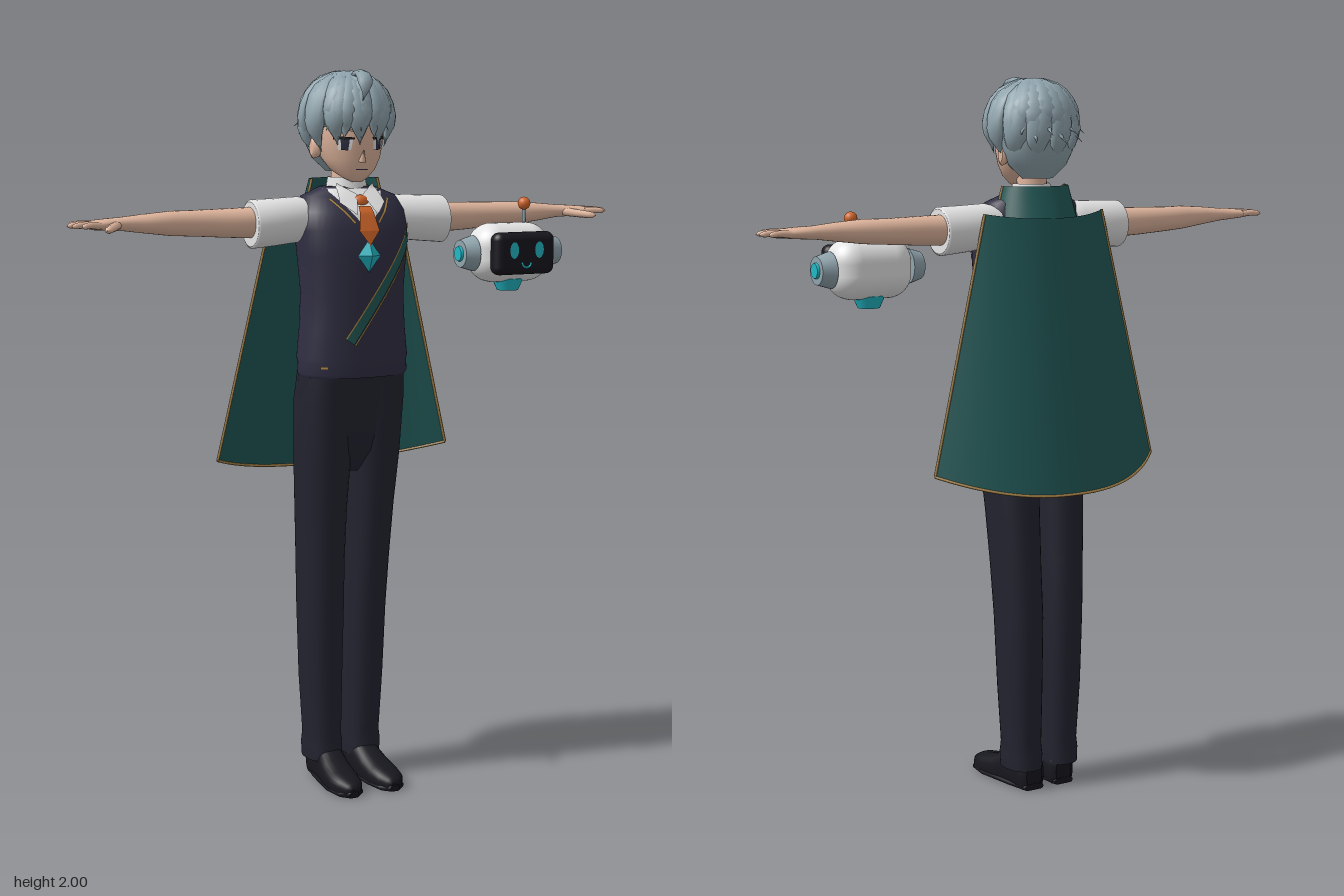
import * as THREE from 'three';
import { RoundedBoxGeometry } from 'three/addons/geometries/RoundedBoxGeometry.js';

const V = (x, y, z) => new THREE.Vector3(x, y, z);
const mix = THREE.MathUtils.lerp;
const paint = (name, color, side = THREE.FrontSide) =>
  Object.assign(new THREE.MeshStandardMaterial({ color, side }), { name });

// Rows of points joined into a surface, optionally closed around and capped
function skin(rows, closed = false, caps = false) {
  const n = rows[0].length, pos = rows.flat().flatMap(p => [p.x, p.y, p.z]), idx = [];
  for (let j = 0; j < rows.length - 1; j++)
    for (let i = 0; i < (closed ? n : n - 1); i++) {
      const a = j * n + i, b = j * n + (i + 1) % n;
      idx.push(a, a + n, b, b, a + n, b + n);
    }
  if (caps) [rows[0], rows[rows.length - 1]].forEach((r, k) => {
    const base = pos.length / 3, c = V(0, 0, 0);
    r.forEach(p => { c.add(p); pos.push(p.x, p.y, p.z); });
    c.divideScalar(n); pos.push(c.x, c.y, c.z);
    for (let i = 0; i < n; i++) {
      const a = base + i, b = base + (i + 1) % n;
      idx.push(base + n, ...(k ? [b, a] : [a, b]));
    }
  });
  const g = new THREE.BufferGeometry();
  g.setAttribute('position', new THREE.Float32BufferAttribute(pos, 3));
  g.setIndex(idx);
  g.computeVertexNormals();
  return g;
}

// Sections are [position, centre1, centre2, radius1, radius2]; y: (x,z), x: (z,y), z: (y,x)
const place = { y: (p, a, b) => V(a, p, b), x: (p, a, b) => V(p, b, a), z: (p, a, b) => V(b, Math.max(0, a), p) };
const bulge = (c, p) => Math.sign(c) * Math.abs(c) ** (2 / p);
function loft(axis, sections, power = 2, n = 28) {
  return skin(sections.map(([p, c1, c2, r1, r2]) => Array.from({ length: n }, (_, i) => {
    const a = i / n * Math.PI * 2;
    return place[axis](p, c1 + r1 * bulge(Math.cos(a), power), c2 + r2 * bulge(Math.sin(a), power));
  })), true, true);
}

// Front surface depth of a y loft, used to lay thin plates on it
function frontZ(sections, x, y, power) {
  let k = 0;
  while (k < sections.length - 2 && sections[k + 1][0] < y) k++;
  const a = sections[k], b = sections[k + 1];
  const t = THREE.MathUtils.clamp((y - a[0]) / (b[0] - a[0]), 0, 1);
  const [, , z, rx, rz] = a.map((v, i) => mix(v, b[i], t));
  return z + rz * Math.max(0, 1 - Math.abs(x / rx) ** power) ** (1 / power);
}
function plate(sections, power, [tl, tr, bl, br], off = 0.005, n = 10) {
  return skin(Array.from({ length: n + 1 }, (_, j) => Array.from({ length: n + 1 }, (_, i) => {
    const u = i / n, v = j / n;
    const [x, y] = [0, 1].map(k => mix(mix(tl[k], tr[k], u), mix(bl[k], br[k], u), v));
    return V(x, y, frontZ(sections, x, y, power) + off);
  })));
}
function strip(x0, y0, x1, y1, w) {
  const l = Math.hypot(x1 - x0, y1 - y0), px = (y1 - y0) / l * w / 2, py = -(x1 - x0) / l * w / 2;
  return [[x0 - px, y0 - py], [x1 - px, y1 - py], [x0 + px, y0 + py], [x1 + px, y1 + py]];
}

// Flattened tapered strand whose flat side faces a centre
function strand(points, w, t, centre, taper, n = 10, m = 8) {
  const curve = new THREE.CatmullRomCurve3(points);
  return skin(Array.from({ length: n + 1 }, (_, j) => {
    const s = j / n, P = curve.getPoint(s), T = curve.getTangent(s);
    const N = P.clone().sub(centre);
    N.addScaledVector(T, -N.dot(T)).normalize();
    const B = T.clone().cross(N), k = taper(s);
    return Array.from({ length: m }, (_, i) => {
      const a = i / m * Math.PI * 2;
      return P.clone().addScaledVector(B, w * k * Math.cos(a)).addScaledVector(N, t * k * Math.sin(a));
    });
  }), true, true);
}
function mirrored(geo) {
  const g = geo.clone().scale(-1, 1, 1), a = g.index.array;
  for (let i = 0; i < a.length; i += 3) [a[i + 1], a[i + 2]] = [a[i + 2], a[i + 1]];
  g.computeVertexNormals();
  return g;
}

export function createModel() {
  const model = new THREE.Group();
  const D = THREE.DoubleSide;
  const skinTone = paint('skin', 0xdfb59d), hair = paint('silver hair', 0x90a4ad), navy = paint('navy knit', 0x302e42),
    dark = paint('dark trousers', 0x232330), white = paint('white', 0xe4e4e4, D), teal = paint('teal cloth', 0x215856, D),
    orange = paint('orange', 0xd4682b), cyan = paint('cyan', 0x22b8c6), gold = paint('gold trim', 0xa8844a, D),
    black = paint('black', 0x17171e);
  const add = (name, geo, mat, x = 0, y = 0, z = 0, parent = model) => {
    const m = new THREE.Mesh(geo, mat);
    m.name = name; m.position.set(x, y, z); parent.add(m);
    return m;
  };
  const both = (name, geo, mat) => { add(name + 'Left', geo, mat); add(name + 'Right', mirrored(geo), mat); };

  // Vest
  const torso = [[1.17, 0, .055, .15, .097], [1.18, 0, .055, .157, .101], [1.21, 0, .055, .155, .1], [1.22, 0, .055, .158, .102],
    [1.3, 0, .055, .15, .1], [1.4, 0, .055, .145, .101], [1.5, 0, .053, .154, .105], [1.57, 0, .048, .16, .102],
    [1.62, 0, .04, .156, .092], [1.66, 0, .028, .137, .066], [1.685, 0, .02, .075, .05]];
  add('vest', loft('y', torso, 2.4, 40), navy);
  const onVest = (name, mat, corners, off) => add(name, plate(torso, 2.4, corners, off), mat);
  onVest('shirtFront', white, [[-.085, 1.68], [.085, 1.68], [0, 1.565], [0, 1.565]], .004);
  for (const s of [-1, 1]) onVest('neckTrim', gold, strip(s * .088, 1.655, s * .035, 1.59, .007), .007);
  const flap = plate(torso, 2.4, [[.008, 1.665], [.055, 1.695], [.03, 1.612], [.068, 1.645]], .014);
  both('collarFlap', flap, white);
  add('shirtCollar', new THREE.CylinderGeometry(.052, .062, .06, 28, 1, true), white, 0, 1.68, .02);
  onVest('tie', orange, [[-.018, 1.635], [.018, 1.635], [-.03, 1.57], [.03, 1.57]], .013);
  onVest('tieTip', orange, [[-.03, 1.57], [.03, 1.57], [0, 1.53], [0, 1.53]], .013);
  add('tieKnot', new THREE.SphereGeometry(.024, 14, 10).scale(1, .8, .7), orange, 0, 1.645, .105);
  add('pendant', new THREE.OctahedronGeometry(1, 0).scale(.034, .045, .02), cyan, 0, 1.503, .16);
  onVest('sash', teal, strip(.158, 1.575, -.055, 1.27, .026), .006);
  for (const s of [-1, 1]) onVest('sashTrim', gold, strip(.158 + s * .013, 1.575 - s * .009, -.055 + s * .013, 1.27 - s * .009, .005), .008);
  onVest('hemPin', gold, strip(-.13, 1.2, -.112, 1.2, .008), .006);

  // Trousers and shoes
  add('hips', loft('y', [[.9, 0, .015, .02, .06], [.96, 0, .022, .09, .086], [1.02, 0, .027, .14, .092], [1.1, 0, .034, .154, .095],
    [1.19, 0, .05, .15, .095]], 2.3, 36), dark);
  both('trouserLeg', loft('y', [[.06, .06, -.018, .052, .068], [.1, .06, -.018, .055, .066], [.13, .06, -.018, .051, .064],
    [.3, .064, -.018, .057, .072], [.5, .066, -.015, .061, .08], [.65, .07, -.006, .062, .085], [.8, .073, .005, .066, .09],
    [.95, .075, .02, .074, .094], [1.1, .075, .034, .079, .095], [1.18, .072, .045, .075, .095]], 2.3), dark);
  both('shoe', loft('z', [[-.072, .04, .05, .035, .025], [-.06, .04, .05, .055, .04], [0, .045, .053, .06, .042], [.04, .04, .056, .055, .043],
    [.08, .028, .06, .045, .046], [.13, .022, .063, .036, .047], [.17, .02, .064, .03, .04], [.195, .018, .064, .02, .024],
    [.2, .018, .064, .008, .01]], 2.5), black);
  both('shoeSole', loft('z', [[-.074, .008, .05, .01, .03], [0, .008, .053, .01, .043], [.12, .008, .063, .01, .049],
    [.18, .008, .064, .01, .038], [.202, .008, .064, .01, .014]], 3), black);

  // Arms, sleeves and hands
  both('sleeve', loft('x', [[.12, .022, 1.6, .056, .052], [.15, .024, 1.597, .064, .062], [.22, .026, 1.592, .065, .064],
    [.288, .028, 1.588, .067, .066], [.292, .028, 1.588, .06, .06]]), white);
  both('arm', loft('x', [[.27, .024, 1.592, .046, .042], [.36, .022, 1.593, .042, .039], [.45, .02, 1.595, .037, .035],
    [.52, .03, 1.597, .038, .033], [.6, .035, 1.599, .032, .025], [.66, .034, 1.6, .026, .018], [.7, .041, 1.6, .034, .016],
    [.74, .047, 1.6, .04, .013], [.757, .047, 1.6, .036, .009]], 2.2), skinTone);
  const fingerTaper = s => (s < .85 ? 1 - s * .25 : .79 * Math.sqrt(Math.max(.02, (1 - s) / .15)));
  [[.017, .012, .8], [.036, .046, .812], [.057, .074, .808], [.077, .098, .788]].forEach(([z0, z1, x1]) =>
    both('finger', strand([V(.735, 1.6, z0), V((.735 + x1) / 2, 1.602, mix(z0, z1, .5)), V(x1, 1.599, z1)], .0105, .01, V(.75, 0, .04), fingerTaper), skinTone));
  both('thumb', strand([V(.68, 1.598, .055), V(.705, 1.594, .092), V(.718, 1.592, .112), V(.735, 1.59, .137)], .014, .012, V(.7, 0, .1), fingerTaper), skinTone);

  // Head and face
  const head = [[1.698, 0, .083, .014, .012], [1.708, 0, .075, .034, .028], [1.73, 0, .058, .062, .054], [1.76, 0, .046, .081, .072],
    [1.8, 0, .036, .093, .087], [1.84, 0, .03, .097, .095], [1.9, 0, .026, .092, .092], [1.95, 0, .02, .06, .06]];
  add('neck', new THREE.CylinderGeometry(.04, .045, .13, 24), skinTone, 0, 1.69, .018);
  add('head', loft('y', head, 2, 36), skinTone);
  add('nose', new THREE.ConeGeometry(.011, .034, 8), skinTone, 0, 1.77, .122).rotation.x = .35;
  both('ear', loft('x', [[.085, .02, 1.79, .018, .026], [.098, .016, 1.79, .02, .03], [.104, .014, 1.79, .012, .02]]), skinTone);
  const onFace = (name, mat, corners, off) => both(name, plate(head, 2, corners, off, 4), mat);
  onFace('eyeWhite', white, [[.03, 1.814], [.07, 1.817], [.034, 1.785], [.064, 1.785]], .003);
  onFace('iris', navy, [[.039, 1.815], [.061, 1.815], [.042, 1.784], [.058, 1.784]], .005);
  onFace('lash', black, [[.026, 1.818], [.076, 1.822], [.028, 1.812], [.076, 1.813]], .006);
  onFace('eyebrow', hair, [[.026, 1.838], [.074, 1.844], [.026, 1.833], [.074, 1.839]], .005);
  add('mouth', plate(head, 2, strip(-.017, 1.732, .017, 1.732, .003), .003, 4), navy);

  // Hair: a cap with locks falling from the crown
  add('hairCap', loft('y', [[1.725, 0, -.012, .045, .035], [1.76, 0, -.012, .085, .06], [1.8, 0, -.012, .103, .08], [1.845, 0, .002, .115, .1],
    [1.86, 0, .02, .117, .118], [1.9, 0, .02, .116, .118], [1.94, 0, .016, .1, .103], [1.97, 0, .012, .07, .073], [1.987, 0, .01, .03, .032]], 2, 36), hair);
  const C = V(0, 1.868, .018);
  const onHair = (phi, th, k = 1) => V(.119 * Math.sin(th) * Math.sin(phi), .122 * Math.cos(th), .12 * Math.sin(th) * Math.cos(phi)).multiplyScalar(k).add(C);
  const lockTaper = s => .25 + 1.1 * Math.sin(Math.PI * Math.min(1, s * .75 + .12)) - .52 * s * s;
  const tipTaper = s => Math.max(.04, lockTaper(s) * (s > .6 ? (1 - s) / .4 : 1));
  const lock = (name, phi, end, tip, w, swirl) => add(name, strand([.12, .4, .7, .9, 1].map((f, i) =>
    onHair(phi + swirl * f, end * f, i === 4 ? tip : 1)), w, .014, C, tipTaper), hair);
  for (let i = 0; i < 22; i++) {
    const phi = i / 22 * Math.PI * 2, front = Math.cos(phi), odd = i % 2;
    const end = front > .55 ? 2.0 + odd * .14 : front > -.35 ? 2.2 + odd * .12 : 2.35 + odd * .2;
    lock('hairLock', phi, end, front > -.35 ? 1.07 : 1, .024, .18 * (odd ? 1 : -.5));
  }
  for (let i = 0; i < 7; i++) lock('backFlick', Math.PI + (i - 3) * .28, 1.72 + (i % 2) * .14, 1.38 - Math.abs(i - 3) * .05, .026, .08);
  for (let i = 0; i < 5; i++) lock('fringe', (i - 2) * .36 + .1, 1.8 + (i % 2) * .2, 1.14, .022, -.25);
  add('curl', strand([V(0, 1.965, .04), V(.005, 1.987, .09), V(-.005, 1.975, .14), V(-.012, 1.94, .158), V(-.012, 1.912, .142)],
    .018, .009, V(0, 1.93, .09), tipTaper), hair);

  // Cape, standing collar and gold edging
  const cape = (u, v) => {
    const b = 1 - Math.abs(u) ** 2.3;
    return V(u * mix(.19, .357, v), mix(1.635 - .015 * b, .935 - .06 * b, v), mix(mix(-.045, -.057, v), mix(-.097, -.207, v), b));
  };
  const line = (n, f) => Array.from({ length: n + 1 }, (_, i) => f(i / n));
  add('cape', skin(line(16, v => line(32, u => cape(u * 2 - 1, v)))), teal);
  const collar = (u, v) => {
    const a = (u * 2 - 1) * 1.65;
    return V(mix(.125, .1, v) * Math.sin(a), mix(1.61, 1.705, v), .003 - mix(.1, .072, v) * Math.cos(a));
  };
  add('capeCollar', skin(line(5, v => line(24, u => collar(u, v)))), teal);
  const edge = (name, pts) => add(name, new THREE.TubeGeometry(new THREE.CatmullRomCurve3(pts), 40, .004, 6), gold);
  edge('capeHem', line(20, t => cape(t * 2 - 1, 1)));
  for (const s of [-1, 1]) edge('capeSideTrim', line(8, t => cape(s, t)));
  for (const u of [0, 1]) edge('collarTrim', line(5, t => collar(u, t)));

  // Hovering robot
  const robot = new THREE.Group();
  robot.name = 'robot'; robot.position.set(.468, 1.493, .1); model.add(robot);
  const part = (name, geo, mat, x, y, z) => add(name, geo, mat, x, y, z, robot);
  part('robotBody', new RoundedBoxGeometry(.236, .165, .146, 6, .066), white, 0, 0, 0);
  part('robotScreen', new RoundedBoxGeometry(.192, .118, .05, 4, .022), black, 0, .002, .078);
  for (const s of [-1, 1]) {
    part('robotEye', new THREE.CircleGeometry(1, 20).scale(.014, .023, 1), cyan, s * .04, .012, .1045);
    part('robotEar', new THREE.CylinderGeometry(.038, .05, .04, 28).rotateZ(-s * Math.PI / 2), hair, s * .135, 0, 0);
    part('robotEarLight', new THREE.CylinderGeometry(.02, .022, .008, 20).rotateZ(-s * Math.PI / 2), cyan, s * .158, 0, 0);
  }
  part('robotSmile', new THREE.TorusGeometry(.014, .003, 6, 14, Math.PI).rotateZ(Math.PI), cyan, 0, -.022, .104);
  part('robotThruster', new THREE.CylinderGeometry(.045, .03, .034, 28), cyan, 0, -.09, 0);
  part('antennaStem', new THREE.CylinderGeometry(.005, .006, .06, 10), hair, .053, .1, -.004);
  part('antennaBall', new THREE.SphereGeometry(.018, 18, 12), orange, .053, .135, -.004);
  return model;
}
